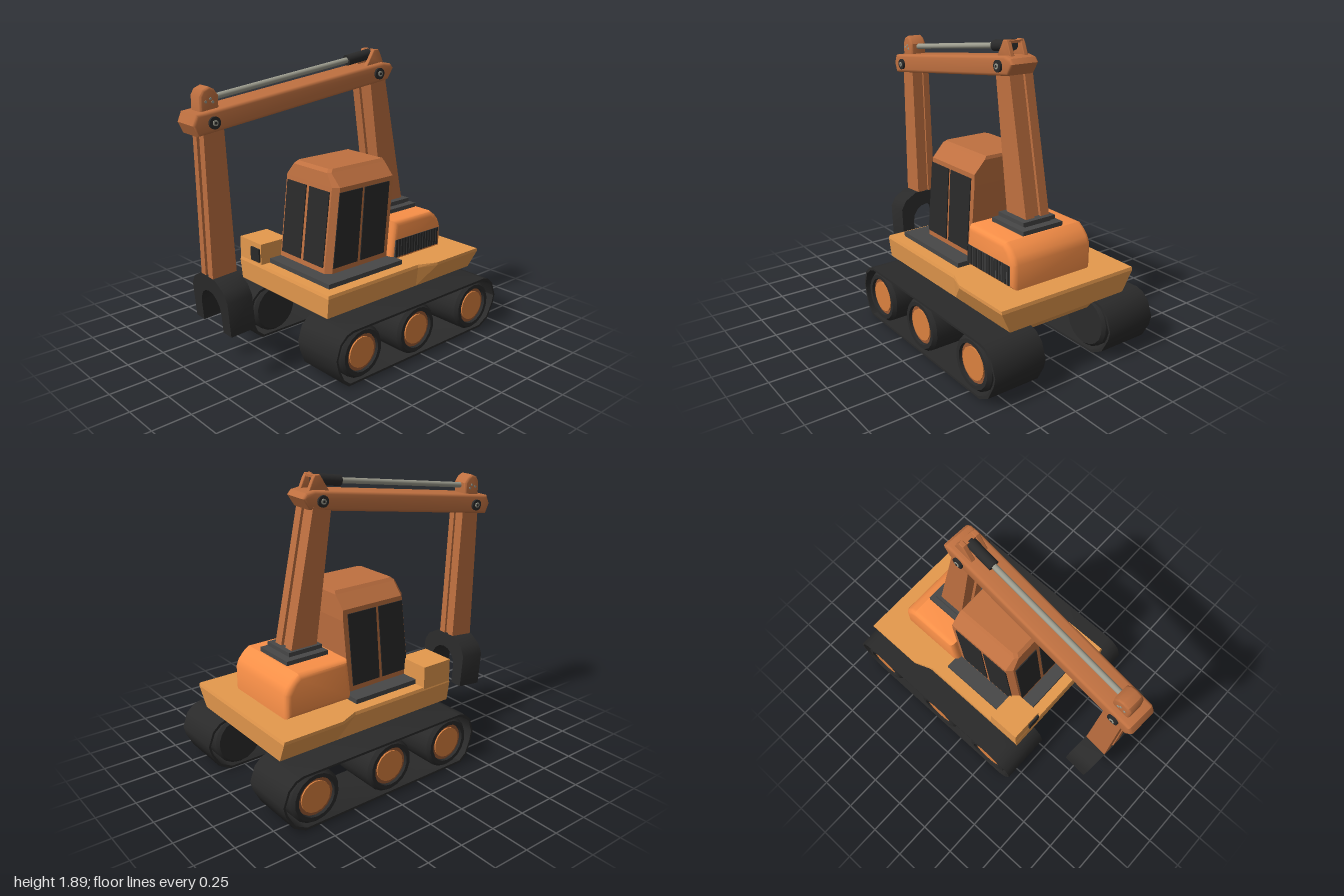
import * as THREE from 'three';
import { toCreasedNormals } from 'three/addons/utils/BufferGeometryUtils.js';

const mat = (color, flatShading = false) => new THREE.MeshStandardMaterial({ color, flatShading });
const PLATFORM = mat(0xe5994d, true), ARM = mat(0xbf7040), CABIN = mat(0xbf7040, true), ENGINE = mat(0xfa9048);
const BLACK = mat(0x2a2a2a), PLATE = mat(0x474747), HUB = mat(0xdb813f), RIM = mat(0x9c5a34), STEEL = mat(0x9c9c8e);

function add(parent, name, geometry, material, x = 0, y = 0, z = 0) {
  const mesh = new THREE.Mesh(geometry, material);
  mesh.name = name;
  mesh.position.set(x, y, z);
  parent.add(mesh);
  return mesh;
}

// Solid skinned through equal-length loops, capped at both ends
function loft(loops) {
  const out = [];
  const tri = (...p) => p.forEach((v) => out.push(...v));
  const mid = (l) => [0, 1, 2].map((k) => l.reduce((s, p) => s + p[k], 0) / l.length);
  const n = loops[0].length, first = loops[0], last = loops[loops.length - 1];
  const m0 = mid(first), m1 = mid(last);
  for (let j = 0; j < n; j++) {
    const k = (j + 1) % n;
    for (let i = 0; i < loops.length - 1; i++) {
      const [a, b] = [loops[i], loops[i + 1]];
      tri(a[j], a[k], b[k]);
      tri(a[j], b[k], b[j]);
    }
    tri(m0, first[k], first[j]);
    tri(m1, last[j], last[k]);
  }
  const g = new THREE.BufferGeometry();
  g.setAttribute('position', new THREE.Float32BufferAttribute(out, 3));
  g.computeVertexNormals();
  return g;
}
const rect = (y, x0, x1, z0, z1) => [[x1, y, z1], [x1, y, z0], [x0, y, z0], [x0, y, z1]];
const poly = (pts) => pts.map((p) => new THREE.Vector2(...p));

// Side profile in x/y given a width in z, with optional rounded edges
function slab(pts, width, bevel = 0, hole) {
  const shape = new THREE.Shape(poly(pts));
  if (hole) shape.holes.push(new THREE.Path(poly(hole)));
  const g = new THREE.ExtrudeGeometry(shape, {
    depth: width - 2 * bevel, bevelEnabled: bevel > 0, bevelThickness: bevel,
    bevelSize: bevel, bevelOffset: -bevel, bevelSegments: 3,
  });
  g.translate(0, 0, bevel - width / 2);
  return toCreasedNormals(g, 0.6);
}

// Cylinder between two points in the x/y plane
function bar(parent, name, material, r, [x0, y0], [x1, y1]) {
  const m = add(parent, name, new THREE.CylinderGeometry(r, r, Math.hypot(x1 - x0, y1 - y0), 16), material,
    (x0 + x1) / 2, (y0 + y1) / 2);
  m.rotation.z = Math.atan2(y1 - y0, x1 - x0) - Math.PI / 2;
}
function disc(parent, name, material, r, depth, x, y, z) {
  add(parent, name, new THREE.CylinderGeometry(r, r, depth, 16), material, x, y, z).rotation.x = Math.PI / 2;
}

function buildTrack(side) {
  const track = new THREE.Group();
  track.name = side > 0 ? 'frontTrack' : 'backTrack';
  track.position.z = side * 0.43;
  const path = [[-0.38, 0], [0.85, 0], [0.93, 0.045], [0.98, 0.14], [0.995, 0.2], [0.96, 0.295], [0.91, 0.34],
    [0.86, 0.355], [-0.35, 0.355], [-0.4, 0.34], [-0.45, 0.295], [-0.48, 0.2], [-0.465, 0.13], [-0.43, 0.04]];
  const inner = path.map(([x, y]) => [0.257 + (x - 0.257) * 0.982, 0.178 + (y - 0.178) * 0.92]);
  add(track, 'belt', slab(path, 0.355, 0, inner), BLACK);
  const tyre = toCreasedNormals(new THREE.LatheGeometry(
    poly([[0, -0.17], [0.15, -0.17], [0.168, -0.15], [0.168, 0.15], [0.15, 0.172], [0.125, 0.172], [0.12, 0.14]]), 18), 0.6);
  for (const x of [-0.26, 0.215, 0.765]) {
    add(track, 'tyre', tyre, BLACK, x, 0.18, 0).rotation.x = side * Math.PI / 2;
    disc(track, 'wheelRim', RIM, 0.122, 0.02, x, 0.18, side * 0.143);
    disc(track, 'wheelHub', HUB, 0.1, 0.02, x, 0.18, side * 0.152);
  }
  return track;
}

function buildBody() {
  const body = new THREE.Group();
  body.name = 'body';
  // Platform, wider at the engine end
  const deck = (y, x0, x1, zn, zw) => [[x1, y, zw], [x1, y, -zw], [0.5, y, -zw], [0.37, y, -zn],
    [x0, y, -zn], [x0, y, zn], [0.37, y, zn], [0.5, y, zw]];
  add(body, 'platform', loft([deck(0.345, -0.33, 0.84, 0.26, 0.26), deck(0.385, -0.4, 0.9, 0.435, 0.435),
    deck(0.515, -0.405, 0.91, 0.45, 0.5), deck(0.535, -0.4, 0.905, 0.445, 0.5)]), PLATFORM);
  add(body, 'frontAxleBeam', slab([[-0.22, 0.28], [0.38, 0.28], [0.44, 0.35], [-0.28, 0.35]], 0.56), PLATFORM);
  add(body, 'rearAxleBeam', slab([[0.56, 0.28], [0.78, 0.28], [0.84, 0.35], [0.52, 0.35]], 0.56), PLATFORM);
  add(body, 'toolBox', new THREE.BoxGeometry(0.22, 0.15, 0.23), PLATFORM, -0.29, 0.6, -0.335);
  add(body, 'lamp', new THREE.BoxGeometry(0.02, 0.09, 0.09), BLACK, -0.402, 0.595, -0.275);
  add(body, 'cabinPlate', new THREE.BoxGeometry(0.63, 0.04, 0.74), PLATE, -0.015, 0.545, 0);

  // Cabin with chamfered front corners and roof
  const ring = (y, x0, x1, z, c) => [[x1, y, z], [x1, y, -z], [x0 + c, y, -z], [x0, y, c - z],
    [x0, y, z - c], [x0 + c, y, z]];
  add(body, 'cabin', loft([ring(0.56, -0.24, 0.27, 0.255, 0.035), ring(1.04, -0.184, 0.312, 0.255, 0.035),
    ring(1.11, -0.176, 0.312, 0.255, 0.035), ring(1.19, -0.165, 0.312, 0.18, 0.02),
    ring(1.21, -0.14, 0.305, 0.163, 0.02)]), CABIN);
  for (const s of [-1, 1]) {
    const z0 = s * 0.255 - 0.006, z1 = s * 0.255 + 0.006;
    add(body, 'sideWindow', loft([rect(0.6, -0.2, 0.005, z0, z1), rect(1.08, -0.145, 0.045, z0, z1)]), BLACK);
    add(body, 'sideWindow', loft([rect(0.6, 0.03, 0.24, z0, z1), rect(1.08, 0.065, 0.28, z0, z1)]), BLACK);
    const w = [s * 0.11 - 0.095, s * 0.11 + 0.095];
    add(body, 'frontWindow', loft([rect(0.6, -0.241, -0.22, ...w), rect(1.08, -0.186, -0.165, ...w)]), BLACK);
  }

  // Engine cover, grille and turret plates
  add(body, 'engineCover', slab([[0.275, 0.535], [0.755, 0.535], [0.755, 0.69], [0.735, 0.735], [0.7, 0.775],
    [0.66, 0.805], [0.305, 0.805]], 0.6, 0.035), ENGINE);
  add(body, 'grille', slab([[0.3, 0.56], [0.72, 0.56], [0.72, 0.68], [0.31, 0.68]], 0.02), PLATE, 0, 0, 0.293);
  for (let i = 0; i < 16; i++)
    add(body, 'grilleSlat', new THREE.BoxGeometry(0.016, 0.12, 0.012), BLACK, 0.318 + i * 0.026, 0.62, 0.3);
  add(body, 'turretPlate', new THREE.BoxGeometry(0.3, 0.035, 0.3), PLATE, 0.5, 0.815, 0);
  add(body, 'turretNeck', new THREE.BoxGeometry(0.2, 0.03, 0.2), PLATE, 0.5, 0.84, 0);
  add(body, 'turretTop', new THREE.BoxGeometry(0.24, 0.025, 0.24), PLATE, 0.495, 0.857, 0);
  return body;
}

function buildArm() {
  const arm = new THREE.Group();
  arm.name = 'arm';
  // Boom: recessed core between two side rails
  add(arm, 'boomCore', loft([rect(0.865, 0.42, 0.565, -0.06, 0.05), rect(1.72, 0.29, 0.385, -0.06, 0.05)]), CABIN);
  for (const z of [-0.068, 0.045])
    add(arm, 'boomRail', loft([rect(0.865, 0.4, 0.585, z - 0.032, z + 0.032),
      rect(1.72, 0.272, 0.403, z - 0.03, z + 0.03)]), CABIN);

  // Upper arm assembly, swung slightly sideways
  const upper = new THREE.Group();
  upper.name = 'upperArm';
  upper.position.z = -0.022;
  upper.rotation.y = -0.0556;
  arm.add(upper);
  add(upper, 'beam', slab([[-0.97, 1.505], [-0.93, 1.51], [0.36, 1.69], [0.42, 1.7], [0.465, 1.77], [0.44, 1.8],
    [0.38, 1.81], [-0.92, 1.637], [-0.975, 1.63], [-1, 1.57]], 0.195, 0.018), ARM);
  for (const [x, y] of [[0.335, 1.745], [-0.87, 1.577]]) {
    disc(upper, 'pivotPin', BLACK, 0.036, 0.225, x, y, 0);
    disc(upper, 'pivotBolt', STEEL, 0.017, 0.235, x, y, 0);
    disc(upper, 'pivotCentre', BLACK, 0.008, 0.24, x, y, 0);
  }
  // Hydraulic ram and its two brackets
  bar(upper, 'ramRod', STEEL, 0.018, [-0.84, 1.698], [0.2, 1.84]);
  bar(upper, 'ramSleeve', BLACK, 0.034, [0.15, 1.832], [0.34, 1.861]);
  const cheek = [[0.255, 1.78], [0.41, 1.79], [0.375, 1.87], [0.36, 1.893], [0.325, 1.893], [0.3, 1.85]];
  for (const z of [-0.048, 0.048]) add(upper, 'ramBracketCheek', slab(cheek, 0.03, 0.005), ARM, 0, 0, z);
  add(upper, 'ramBracketTop', new THREE.BoxGeometry(0.04, 0.016, 0.1), ARM, 0.345, 1.882, 0);
  add(upper, 'ramEndBracket', slab([[-0.93, 1.6], [-0.81, 1.61], [-0.81, 1.72], [-0.835, 1.755], [-0.87, 1.772],
    [-0.91, 1.755], [-0.93, 1.72]], 0.115, 0.015), ARM);
  for (const [x, y] of [[-0.895, 1.69], [-0.865, 1.705], [-0.85, 1.685]])
    disc(upper, 'bracketBolt', STEEL, 0.008, 0.122, x, y, 0);

  // Hanging forearm with a recessed core
  add(upper, 'forearmCore', loft([rect(0.62, -0.89, -0.755, -0.05, 0.05), rect(1.55, -0.905, -0.805, -0.05, 0.05)]), CABIN);
  for (const z of [-0.042, 0.042])
    add(upper, 'forearmRail', loft([rect(0.62, -0.905, -0.74, z - 0.025, z + 0.025),
      rect(1.55, -0.922, -0.79, z - 0.022, z + 0.022)]), CABIN);

  // Forked grab, an upturned U facing along the arm
  const fork = [[0.205, -0.33], [0.205, -0.11], [0.17, -0.05], [0.085, 0], [-0.085, 0], [-0.17, -0.05],
    [-0.205, -0.11], [-0.205, -0.33], [-0.115, -0.33]];
  for (let i = 0; i <= 8; i++) {
    const a = Math.PI * (1 - i / 8);
    fork.push([0.115 * Math.cos(a), -0.21 + 0.115 * Math.sin(a)]);
  }
  fork.push([0.115, -0.33]);
  const grab = new THREE.Group();
  grab.name = 'grab';
  grab.position.set(-0.823, 0.648, 0.005);
  grab.rotation.z = 0.085;
  add(grab, 'grabFork', slab(fork, 0.17), BLACK).rotation.y = Math.PI / 2;
  upper.add(grab);
  return arm;
}

export function createModel() {
  const model = new THREE.Group();
  model.name = 'excavator';
  model.add(buildTrack(1), buildTrack(-1), buildBody(), buildArm());
  return model;
}
